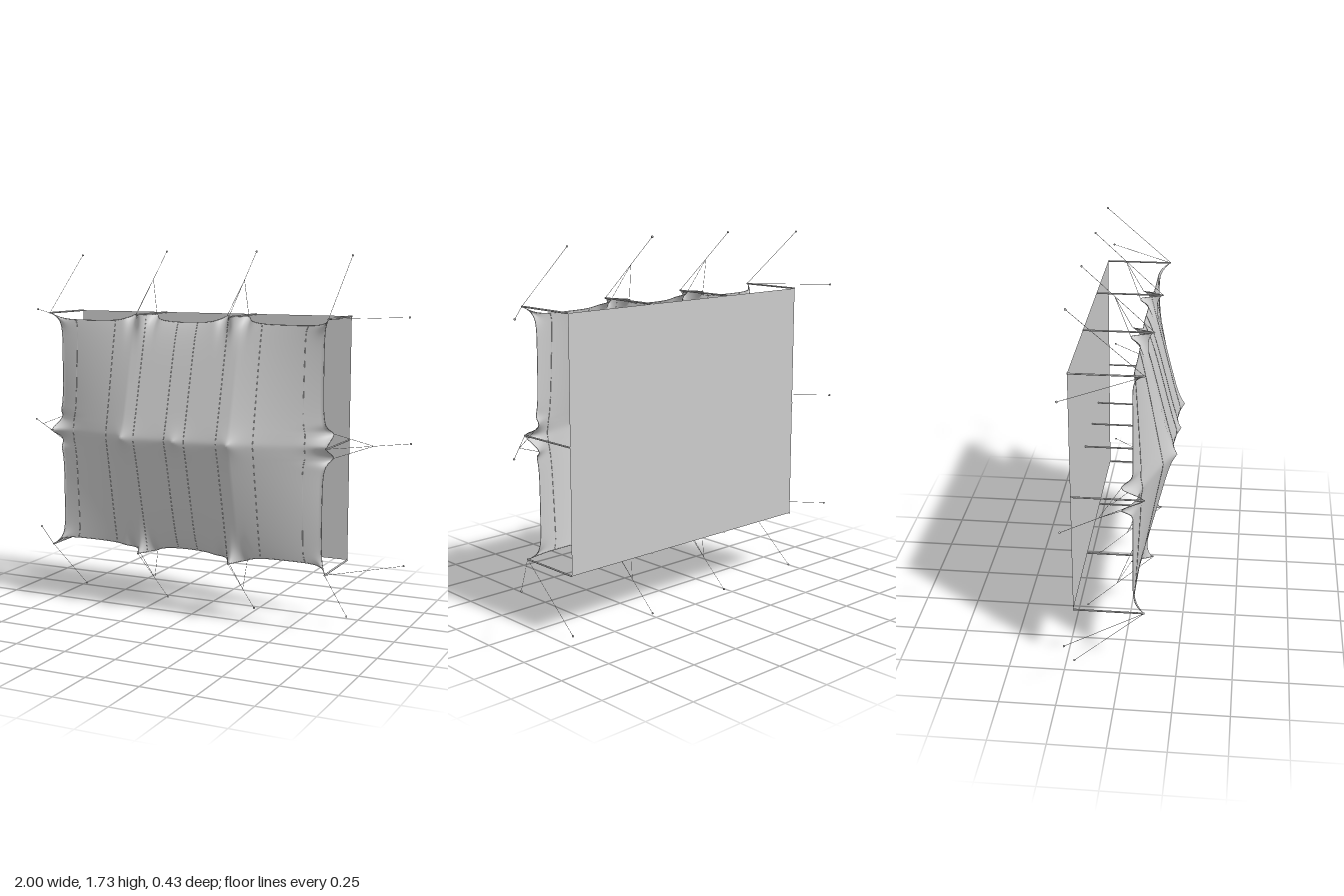
import * as THREE from 'three';

const W = 0.705, H = 0.567, CY = 0.8625, BACK = -0.21, TIP = 0.105;
const grey = new THREE.MeshStandardMaterial({ color: 0xcccccc });
const cloth = new THREE.MeshStandardMaterial({ color: 0xcccccc, side: THREE.DoubleSide });
const PEAKS = [-0.27, 0, 0.27];      // ridge points
const TOP_POLES = [-0.235, 0.235];   // poles along the top and bottom edge
const WING = 0.055;                  // half spread of the fabric ears beside an edge pole

const gauss = (d, w) => Math.exp(-((d / w) ** 2));

// Fold of the edge over a pole: forward at the pole, back at the two ears
const fold = d => 0.05 * gauss(d, 0.022) - 0.045 * gauss(Math.abs(d) - WING, 0.024);

// Inward scallop of an edge: zero at the given points, full depth between them
function scallop(t, half, poles, depth) {
  let pull = Math.exp(-(half - Math.abs(t)) / 0.03);
  for (const p of poles) pull = Math.max(pull, Math.exp(-Math.max(0, Math.abs(t - p) - WING) / 0.04));
  return depth * (1 - pull);
}

// Point on the tensioned fabric, u and v from -1 to 1
function fabric(u, v) {
  const x = u * W, y = v * H;
  const eu = W - Math.abs(x), ev = H - Math.abs(y);
  const slope = 1 - Math.max(0, Math.sqrt(v * v + 0.0006) - 0.012);
  const a = Math.abs(x);
  const ridge = a < 0.27 ? 0.19 : THREE.MathUtils.lerp(0.19, 0.052, Math.min(1, (a - 0.27) / 0.42));
  let z = 0.05 + (ridge - 0.05) * Math.max(0, slope);
  z -= 0.012 * gauss(x, 0.2) * Math.abs(v) ** 6;
  for (const p of PEAKS) z += 0.024 * Math.exp(-Math.hypot(x - p, y) / 0.035);
  for (const p of TOP_POLES) z += fold(x - p) * Math.exp(-ev / 0.04);
  z += fold(y) * Math.exp(-eu / 0.04);
  z += 0.052 * Math.exp(-Math.hypot(eu, ev) / 0.025);
  const sx = scallop(y, H, [0], 0.036) * Math.sign(u) * Math.abs(u) ** 6;
  const sy = scallop(x, W, TOP_POLES, 0.033) * Math.sign(v) * Math.abs(v) ** 6;
  return new THREE.Vector3(x - sx, CY + y - sy, z);
}

function add(group, name, geometry, material = grey) {
  const mesh = new THREE.Mesh(geometry, material);
  mesh.name = name;
  group.add(mesh);
  return mesh;
}

// Straight rod between two points
function rod(group, name, a, b, r, sides = 6) {
  const dir = b.clone().sub(a);
  const m = add(group, name, new THREE.CylinderGeometry(r, r, dir.length(), sides));
  m.position.copy(a).add(b).multiplyScalar(0.5);
  m.quaternion.setFromUnitVectors(new THREE.Vector3(0, 1, 0), dir.normalize());
}

// Thin cord laid along the fabric
function cord(group, name, pointAt, steps, r) {
  const pts = [];
  for (let i = 0; i <= steps; i++) pts.push(pointAt(-1 + 2 * i / steps));
  add(group, name, new THREE.TubeGeometry(new THREE.CatmullRomCurve3(pts), steps * 2, r, 4));
}

export function createModel() {
  const model = new THREE.Group();
  const V = (x, y, z) => new THREE.Vector3(x, y, z);

  // Back wall
  add(model, 'backWall', new THREE.PlaneGeometry(2 * W, 2 * H), cloth).position.set(0, CY, BACK);

  // Fabric membrane
  const skin = new THREE.PlaneGeometry(2, 2, 188, 152);
  const pos = skin.attributes.position;
  for (let i = 0; i < pos.count; i++) {
    const p = fabric(pos.getX(i), pos.getY(i));
    pos.setXYZ(i, p.x, p.y, p.z);
  }
  skin.computeVertexNormals();
  add(model, 'membrane', skin, cloth);

  // Edge cords and vertical seams
  for (const s of [-1, 1]) {
    cord(model, 'sideEdgeCord', t => fabric(s, t), 100, 0.0015);
    cord(model, 'longEdgeCord', t => fabric(t, s), 120, 0.0015);
    for (const x of [0.05, 0.21, 0.375, 0.595])
      cord(model, 'seam', t => fabric(s * x / W, t), 40, 0.0015);
  }

  // Ridge poles behind the fabric
  for (const x of [-0.235, 0, 0.235])
    rod(model, 'ridgePole', V(x, CY, BACK), V(x, CY, 0.185), 0.004, 8);

  const pole = (x, y) => rod(model, 'edgePole', V(x, y, BACK), V(x, y, TIP), 0.004, 8);
  // Guy cable from a pole tip to its wall anchor
  function guy(x, y, ax, ay) {
    const anchor = V(ax, ay, BACK);
    rod(model, 'guyCable', V(x, y, TIP), anchor, 0.001, 4);
    add(model, 'anchor', new THREE.SphereGeometry(0.005, 8, 6)).position.copy(anchor);
  }

  for (const s of [-1, 1]) {
    // Top and bottom edges
    const y = CY + s * H;
    for (const x of TOP_POLES) {
      pole(x, y);
      guy(x, y, x, CY + s * 0.8575);
      for (const w of [-WING, WING])
        rod(model, 'earCable', fabric((x + w) / W, s), V(x, CY + s * 0.728, -0.07), 0.001, 4);
    }
    // Corners
    for (const t of [-1, 1]) {
      pole(t * W, y);
      guy(t * W, y, t * W, CY + s * 0.84);
      guy(t * W, y, t * 0.975, y);
    }
    // Side poles at mid height
    pole(s * W, CY);
    guy(s * W, CY, s * 0.995, CY);
    for (const w of [-WING, WING])
      rod(model, 'earCable', fabric(s, w / H), V(s * 0.865, CY, -0.07), 0.001, 4);
  }
  return model;
}
